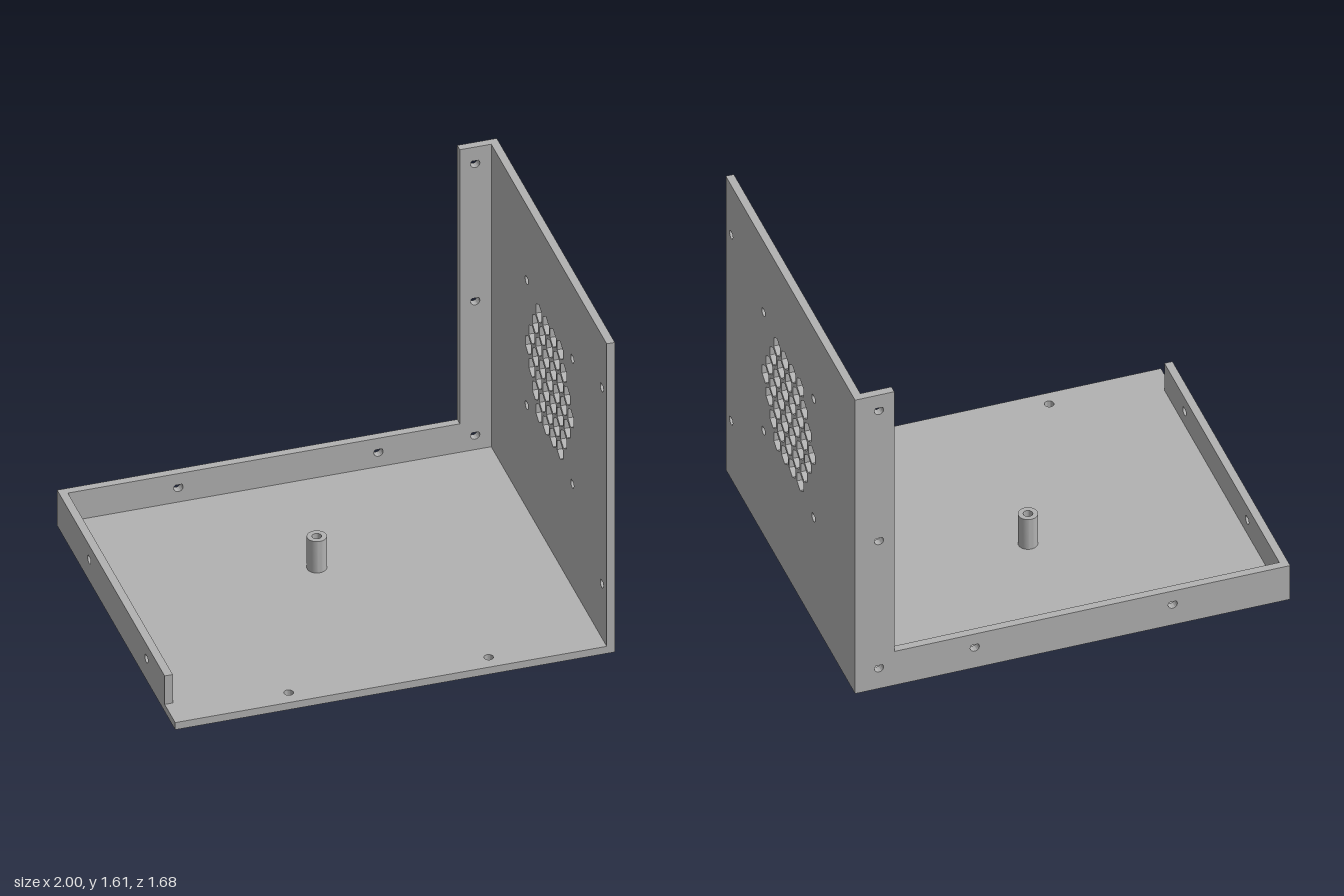
import * as THREE from 'three';
import { toCreasedNormals } from 'three/addons/utils/BufferGeometryUtils.js';

const T = 0.037;              // sheet thickness
const W = 1, D = 0.84;        // half width, half depth
const H = 1.61, LIP = 0.185;  // wall height, lip height
const HOLE = 0.021;           // screw hole radius

const polygon = (points) => new THREE.Shape(points.map(([x, y]) => new THREE.Vector2(x, y)));
const rect = (x0, y0, x1, y1) => polygon([[x0, y0], [x1, y0], [x1, y1], [x0, y1]]);

// Round hole
function round(x, y, r = HOLE) {
  const path = new THREE.Path();
  path.absarc(x, y, r, 0, Math.PI * 2, true);
  return path;
}

// Screw hole with a pointed top
function teardrop(x, y) {
  const path = new THREE.Path();
  path.moveTo(x, y + HOLE * Math.SQRT2);
  path.absarc(x, y, HOLE, Math.PI / 4, Math.PI * 3 / 4, true);
  path.closePath();
  return path;
}

// Vent cell standing on a corner
function hexagon(x, y, r) {
  const points = [];
  for (let i = 0; i < 6; i++) {
    const a = Math.PI / 2 - i * Math.PI / 3;
    points.push(new THREE.Vector2(x + r * Math.cos(a), y + r * Math.sin(a)));
  }
  return new THREE.Path(points);
}

function extrude(shape, holes, depth) {
  shape.holes.push(...holes);
  const geometry = new THREE.ExtrudeGeometry(shape, { depth, bevelEnabled: false, curveSegments: 20 });
  return toCreasedNormals(geometry, Math.PI / 5);
}

export function createModel() {
  const group = new THREE.Group();
  group.name = 'ventedEnclosureHalf';
  const grey = new THREE.MeshStandardMaterial({ color: 0xb2b2b2 });
  grey.name = 'grey';

  const add = (name, geometry) => {
    const mesh = new THREE.Mesh(geometry, grey);
    mesh.name = name;
    group.add(mesh);
  };
  // Outlines drawn in (z, y) become upright plates with their outer face at x
  const sidePlate = (shape, holes, x) => extrude(shape, holes, T).rotateY(-Math.PI / 2).translate(x, 0, 0);

  // Floor, outline drawn in (x, z)
  const floor = extrude(rect(-W, -D + T, W - T, D), [-0.46, 0.45].map((x) => round(x, 0.765)), T);
  add('floor', floor.rotateX(Math.PI / 2).translate(0, T, 0));

  // Back flange: low lip along the floor and a tall strip beside the wall
  const flange = polygon([[-W, 0], [W, 0], [W, H], [0.82, H], [0.82, LIP], [-W, LIP]]);
  const flangeHoles = [[-0.46, 0.112], [0.45, 0.112], [0.89, 0.112], [0.89, 0.81], [0.89, 1.524]];
  add('backFlange', extrude(flange, flangeHoles.map(([x, y]) => teardrop(x, y)), T).translate(0, 0, -D));

  // Tall wall with mounting holes and a honeycomb vent
  const vent = { z: 0.025, y: 0.898, pitch: 0.1005, row: 0.0865, r: 0.047 };
  const wallHoles = [[0.77, 0.32], [0.77, 1.34]].map(([z, y]) => teardrop(z, y));
  for (const sz of [-1, 1]) for (const sy of [-1, 1]) {
    wallHoles.push(teardrop(vent.z + sz * 0.325, vent.y + sy * 0.325));
  }
  for (let row = -3; row <= 3; row++) {
    const count = 7 - Math.abs(row);
    for (let i = 0; i < count; i++) {
      wallHoles.push(hexagon(vent.z + (i - (count - 1) / 2) * vent.pitch, vent.y + row * vent.row, vent.r));
    }
  }
  add('ventedWall', sidePlate(rect(-D + T, 0, D, H), wallHoles, W));

  // Low lip on the opposite side, stopping short of the front edge
  const lipHoles = [-0.385, 0.43].map((z) => teardrop(z, 0.112));
  add('sideLip', sidePlate(rect(-D + T, T, 0.69, LIP), lipHoles, -W + T));

  // Hollow standoff on the floor
  const post = new THREE.Shape();
  post.absarc(0, 0, 0.044, 0, Math.PI * 2, false);
  const standoff = extrude(post, [round(0, 0)], 0.2 - T);
  add('standoff', standoff.rotateX(-Math.PI / 2).translate(-0.045, T, -0.132));

  return group;
}
